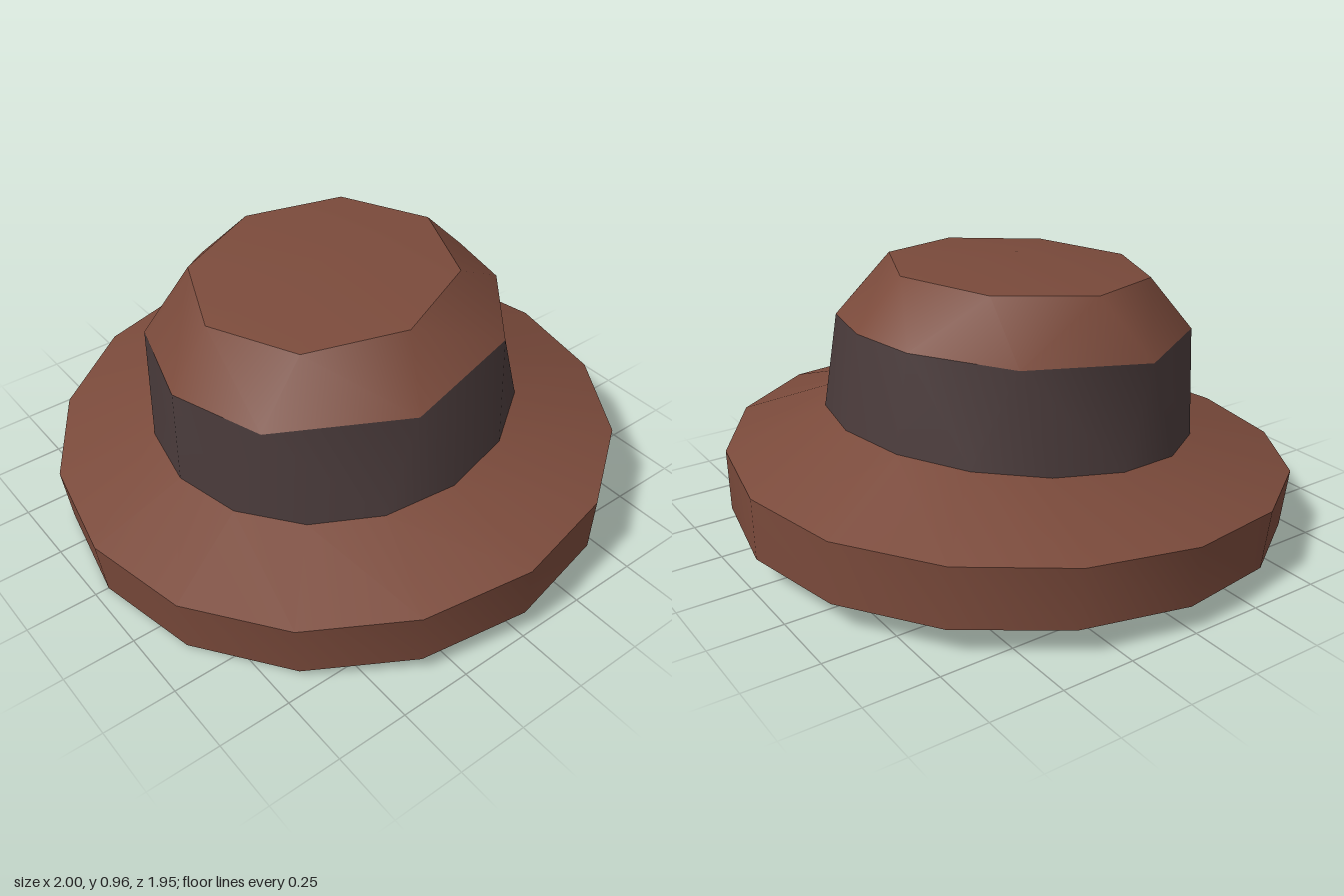
import * as THREE from 'three';

const even = (n) => Array.from({ length: n }, (_, i) => (i * 360) / n);
// The band's upper edge has fewer, unevenly spaced corners, mirrored left to right.
const half = [33.75, 80, 123.75, 157.5];
const uneven = [0, ...half, 180, ...half.map((a) => 360 - a).reverse()];

// A tilted ring: angle 0 is the front. Height = y + tilt * cos(a) + bend * cos(2a).
function ring(angles, rx, rz, cz, y, tilt = 0, bend = 0) {
  const points = angles.map((deg) => {
    const a = THREE.MathUtils.degToRad(deg);
    return [rx * Math.sin(a), y + tilt * Math.cos(a) + bend * Math.cos(2 * a), cz + rz * Math.cos(a)];
  });
  return { angles, points };
}
const tip = (y, z) => ({ angles: [0], points: [[0, y, z]] });

// Joins two rings (or a ring and a tip) with triangles, stepping round by angle.
function stitch(low, high) {
  const n = low.points.length, m = high.points.length;
  const steps = (r) => (r.points.length > 1 ? r.points.length : 0);
  const next = (r, k) => (k >= steps(r) ? Infinity : r.angles[k + 1] ?? 360);
  const index = [];
  let i = 0, j = 0;
  while (i < steps(low) || j < steps(high)) {
    if (next(low, i) <= next(high, j)) {
      index.push(i % n, (i + 1) % n, n + (j % m));
      i++;
    } else {
      index.push(i % n, n + ((j + 1) % m), n + (j % m));
      j++;
    }
  }
  const geometry = new THREE.BufferGeometry();
  const positions = [...low.points, ...high.points].flat();
  geometry.setAttribute('position', new THREE.Float32BufferAttribute(positions, 3));
  geometry.setIndex(index);
  geometry.computeVertexNormals();
  return geometry;
}

export function createModel() {
  const felt = new THREE.MeshStandardMaterial({ color: 0x7a4a3b });
  felt.name = 'brown felt';
  const ribbon = new THREE.MeshStandardMaterial({ color: 0x4a3b3b });
  ribbon.name = 'dark ribbon';

  // Rings from the brim's lower edge to the crown's top
  const brimLow = ring(even(16), 0.985, 0.963, -0.012, 0.07, -0.05, -0.02);
  const brimHigh = ring(even(16), 1, 0.977, 0, 0.2775, -0.055, -0.0175);
  const bandLow = ring(even(16), 0.64, 0.638, 0.002, 0.394, -0.071);
  const bandHigh = ring(uneven, 0.615, 0.61, 0.03, 0.728, -0.055);
  const crownTop = ring(even(8), 0.443, 0.458, 0.042, 0.911, -0.034);

  const hat = new THREE.Group();
  hat.name = 'hat';
  const add = (name, low, high, material) => {
    const mesh = new THREE.Mesh(stitch(low, high), material);
    mesh.name = name;
    hat.add(mesh);
  };
  add('brimUnderside', tip(0.05, -0.012), brimLow, felt);
  add('brimEdge', brimLow, brimHigh, felt);
  add('brimTop', brimHigh, bandLow, felt);
  add('hatBand', bandLow, bandHigh, ribbon);
  add('crownSide', bandHigh, crownTop, felt);
  add('crownTop', crownTop, tip(0.957, 0.035), felt);
  return hat;
}
